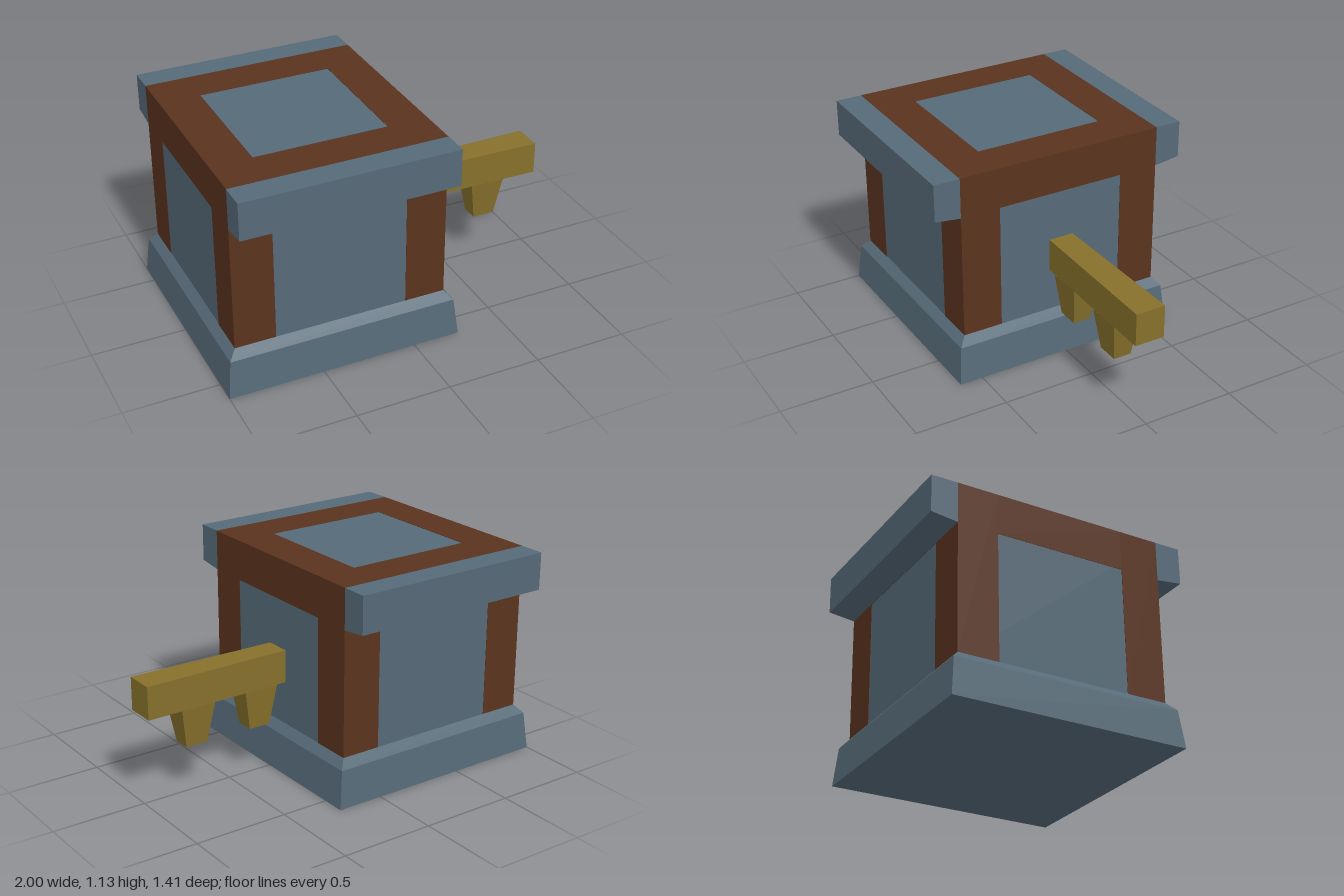
import * as THREE from 'three';

const material = (color) => new THREE.MeshStandardMaterial({ color, flatShading: true, side: THREE.DoubleSide });

// Box whose bottom and top rectangles [x0, x1, z0, z1] may differ
function taperedBox(name, mat, y0, y1, bottom, top = bottom) {
  const g = new THREE.BoxGeometry(1, 1, 1);
  const p = g.attributes.position;
  for (let i = 0; i < p.count; i++) {
    const r = p.getY(i) < 0 ? bottom : top;
    p.setXYZ(i, p.getX(i) < 0 ? r[0] : r[1], p.getY(i) < 0 ? y0 : y1, p.getZ(i) < 0 ? r[2] : r[3]);
  }
  g.computeVertexNormals();
  const mesh = new THREE.Mesh(g, mat);
  mesh.name = name;
  return mesh;
}

export function createModel() {
  const model = new THREE.Group();
  model.name = 'frameBoxWithArm';
  const slate = material(0x566a78);
  const rust = material(0x5a331e);
  const brass = material(0x86702b);
  const add = (...args) => model.add(taperedBox(...args));

  const X0 = -0.94, X1 = 0.19, Z = 0.565, H = 1.13, T = 0.215, BASE = 0.245;

  // Stepped base with a bevelled upper edge
  add('base', slate, 0, 0.2, [-1, 0.25, -0.625, 0.625], [-0.98, 0.228, -0.605, 0.605]);
  add('baseBevel', slate, 0.2, BASE, [-0.98, 0.228, -0.605, 0.605], [X0, X1, -Z, Z]);

  // Panelled core, a hair inside the frame
  const e = 0.002;
  add('panelCore', slate, 0.22, H - e, [X0 + e, X1 - e, -Z + e, Z - e]);

  // Frame: corner posts and top beams
  const frame = new THREE.Group();
  frame.name = 'frame';
  for (const [a, b] of [[X0, X0 + T], [X1 - T, X1]]) {
    for (const [c, d] of [[-Z, -Z + T], [Z - T, Z]]) {
      frame.add(taperedBox('cornerPost', rust, 0.23, H, [a, b, c, d]));
    }
    frame.add(taperedBox('sideBeam', rust, H - T, H, [a, b, -Z + T, Z - T]));
  }
  for (const [c, d] of [[-Z, -Z + T], [Z - T, Z]]) {
    frame.add(taperedBox('crossBeam', rust, H - T, H, [X0 + T, X1 - T, c, d]));
  }
  model.add(frame);

  // Front and back ledges with a slightly sloped underside
  for (const s of [-1, 1]) {
    const shape = new THREE.Shape([
      [Z, 0.915], [0.705, 0.932], [0.705, H], [Z, H],
    ].map(([z, y]) => new THREE.Vector2(-s * z, y)));
    const g = new THREE.ExtrudeGeometry(shape, { depth: X1 - X0, bevelEnabled: false });
    g.rotateY(Math.PI / 2).translate(X0, 0, 0);
    const ledge = new THREE.Mesh(g, slate);
    ledge.name = s > 0 ? 'frontLedge' : 'backLedge';
    model.add(ledge);
  }

  // Side arm, widening slightly outward, with two tapered teeth
  const arm = taperedBox('arm', brass, 0.48, 0.655, [X1, 1, -0.08, 0.08]);
  const p = arm.geometry.attributes.position;
  for (let i = 0; i < p.count; i++) if (p.getX(i) < 0.5) p.setZ(i, Math.sign(p.getZ(i)) * 0.068);
  arm.geometry.computeVertexNormals();
  model.add(arm);
  for (const [x, w] of [[0.34, 0.07], [0.715, 0.076]]) {
    add('armTooth', brass, 0.265, 0.48, [x - 0.06, x + 0.06, -0.048, 0.048], [x - 0.095, x + 0.095, -w, w]);
  }
  return model;
}
